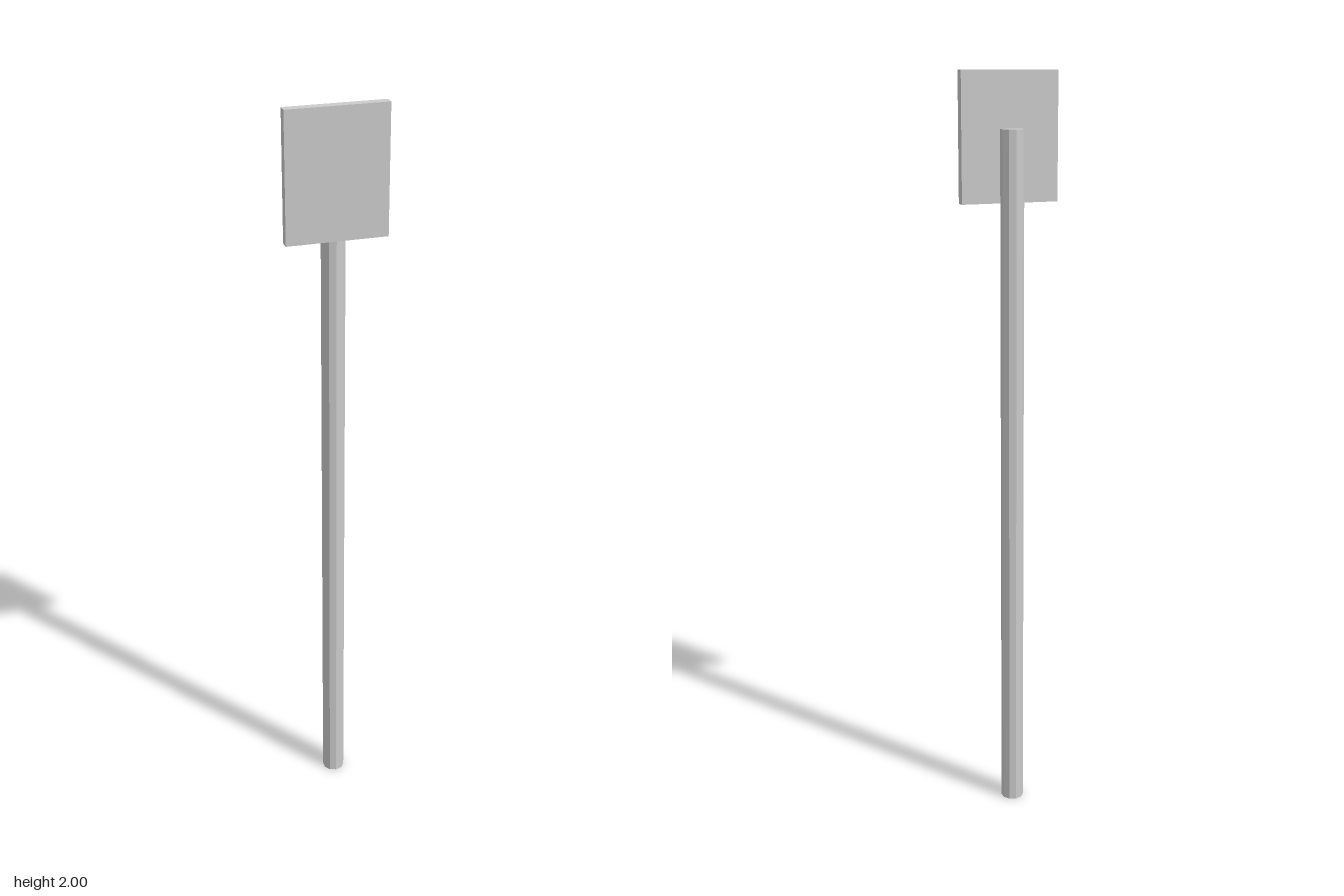
import * as THREE from 'three';

export function createModel() {
  const model = new THREE.Group();
  const material = new THREE.MeshStandardMaterial({
    color: 0xcccccc, flatShading: true, side: THREE.DoubleSide,
  });

  // Ten-sided post: open at the foot, closed at the top
  const radius = 0.0305, postHeight = 1.857;
  const profile = [[radius, 0], [radius, postHeight], [0, postHeight]]
    .map(([r, y]) => new THREE.Vector2(r, y));
  const post = new THREE.Mesh(new THREE.LatheGeometry(profile, 10), material);
  post.name = 'post';
  post.position.set(0.001, 0, -0.007);

  // Flat sign board, set slightly into the front of the post
  const boardHeight = 0.328;
  const board = new THREE.Mesh(new THREE.BoxGeometry(0.26, boardHeight, 0.025), material);
  board.name = 'signBoard';
  board.position.set(0, 2 - boardHeight / 2, 0.0225);

  model.add(post, board);
  return model;
}
